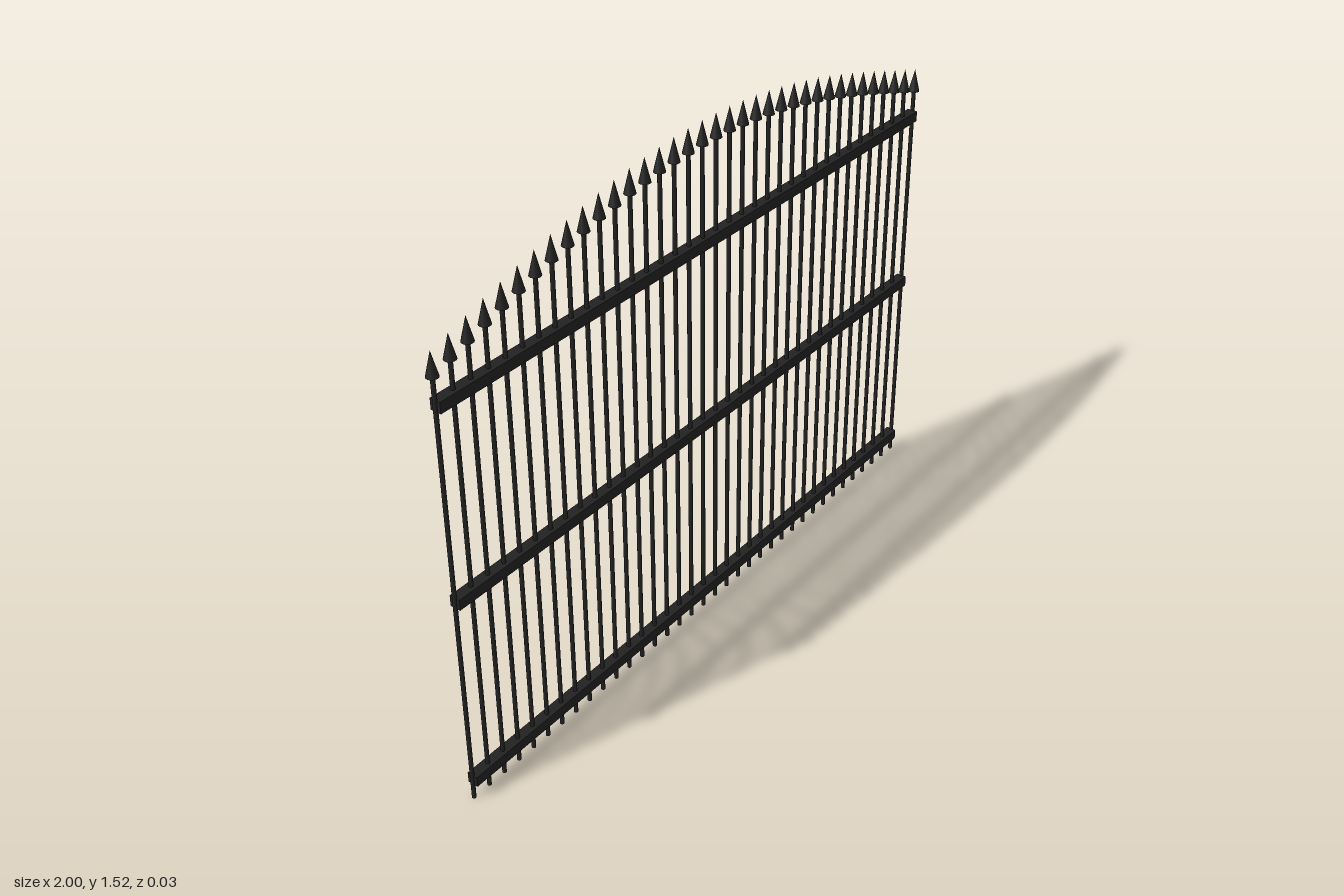
import * as THREE from 'three';

export function createModel() {
  const fence = new THREE.Group();
  fence.name = 'fencePanel';
  const iron = new THREE.MeshStandardMaterial({ color: 0x222222 });
  iron.name = 'black iron';

  const count = 36, halfWidth = 0.984;
  const pointHeight = 0.066, endTip = 1.325, archRise = 0.197;

  const add = (parent, name, geometry, x, y) => {
    const mesh = new THREE.Mesh(geometry, iron);
    mesh.name = name;
    mesh.position.set(x, y, 0);
    parent.add(mesh);
  };

  // Three square rails
  const railGeometry = new THREE.BoxGeometry(halfWidth * 2, 0.031, 0.031);
  [['bottomRail', 0.06], ['middleRail', 0.632], ['topRail', 1.183]]
    .forEach(([name, y]) => add(fence, name, railGeometry, 0, y));

  // Round pickets rising to an arch, each with a spear point
  const pointGeometry = new THREE.ConeGeometry(0.016, pointHeight, 16);
  for (let i = 0; i < count; i++) {
    const t = i / (count - 1);
    const tip = endTip + archRise * Math.sin(Math.PI * t);
    const height = tip - pointHeight;
    const picket = new THREE.Group();
    picket.name = 'picket';
    picket.position.x = (t * 2 - 1) * halfWidth;
    add(picket, 'picketBar', new THREE.CylinderGeometry(0.006, 0.006, height, 12), 0, height / 2);
    add(picket, 'spearPoint', pointGeometry, 0, height + pointHeight / 2);
    fence.add(picket);
  }
  return fence;
}
